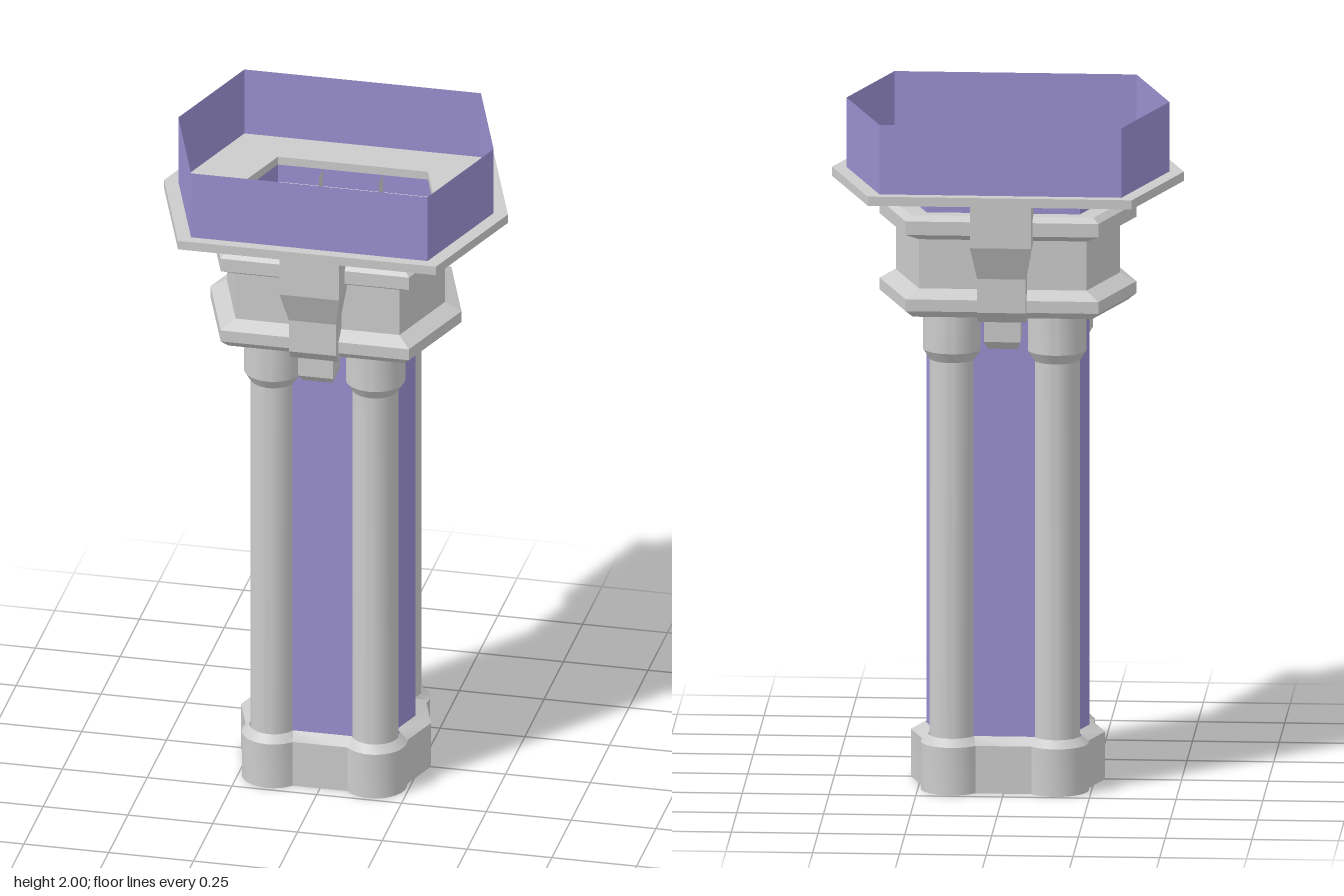
import * as THREE from 'three';
import { toCreasedNormals } from 'three/addons/utils/BufferGeometryUtils.js';

const PX = 0.15, PZ = 0.148; // centre of a corner pillar
const grey = new THREE.MeshStandardMaterial({ color: 0xcccccc, side: THREE.DoubleSide });
const purple = new THREE.MeshStandardMaterial({ color: 0x9a8fd0, side: THREE.DoubleSide });

// Elongated hexagon with its points on the x axis
function hexLoop(r) {
  const a = 0.75 * r, b = 0.745 * r;
  return [[r, 0], [a, b], [-a, b], [-r, 0], [-a, -b], [a, -b]];
}

// The same hexagon with a round lobe of radius R at each pillar
function lobedLoop(r, R) {
  const n = Math.atan2(0.25, 0.745);
  const gap = r * Math.cos(n) - PX * Math.cos(n) - PZ * Math.sin(n);
  const start = n - Math.acos(gap / R);
  const end = Math.PI - Math.asin((0.745 * r - PZ) / R);
  const arc = [];
  for (let i = 0; i <= 12; i++) {
    const t = start + (end - start) * i / 12;
    arc.push([PX + R * Math.cos(t), PZ + R * Math.sin(t)]);
  }
  const half = [[r, 0], ...arc, ...arc.slice().reverse().map(([x, z]) => [-x, z])];
  return [...half, ...half.map(([x, z]) => [-x, -z])];
}

// Skin between stacked loops; levels are { y, loop }
function loft(levels, closed = true) {
  const pos = [];
  for (let k = 0; k < levels.length - 1; k++) {
    const lo = levels[k], hi = levels[k + 1], n = lo.loop.length;
    for (let i = 0; i < (closed ? n : n - 1); i++) {
      const j = (i + 1) % n;
      const p = (l, m) => [l.loop[m][0], l.y, l.loop[m][1]];
      const a = p(lo, i), b = p(lo, j), c = p(hi, j), d = p(hi, i);
      pos.push(...a, ...d, ...c, ...a, ...c, ...b);
    }
  }
  const g = new THREE.BufferGeometry();
  g.setAttribute('position', new THREE.Float32BufferAttribute(pos, 3));
  g.computeVertexNormals();
  return g;
}

const hexStack = (profile) => loft(profile.map(([r, y]) => ({ y, loop: hexLoop(r) })));

// U-shaped shell from [halfWidth, depth, y], reaching in to the given z
const shell = (levels, inner, closed) => loft(levels.map(([w, d, y]) => (
  { y, loop: [[w, inner], [w, d], [-w, d], [-w, inner]] })), closed);

function add(parent, name, geometry, material) {
  const mesh = new THREE.Mesh(geometry, material);
  mesh.name = name;
  parent.add(mesh);
  return mesh;
}

export function createModel() {
  const model = new THREE.Group();
  model.name = 'hexagonalTower';

  // Lobed foot, open underneath
  const foot = loft([
    { y: 0, loop: lobedLoop(0.28, 0.092) },
    { y: 0.14, loop: lobedLoop(0.28, 0.092) },
    { y: 0.162, loop: lobedLoop(0.238, 0.07) },
  ]);
  add(model, 'foot', toCreasedNormals(foot, 0.5), grey);

  // Hollow shaft panels
  add(model, 'shaft', hexStack([[0.235, 0.14], [0.235, 1.66]]), purple);

  // Corner pillars: round shells with a wider collar on top
  const profile = [[0.067, 0.14], [0.067, 1.27], [0.086, 1.3], [0.086, 1.415]]
    .map(([r, y]) => new THREE.Vector2(r, y));
  const pillar = toCreasedNormals(
    new THREE.LatheGeometry(profile, 24, -Math.PI / 2, THREE.MathUtils.degToRad(253)), 0.4);
  for (const sx of [1, -1]) for (const sz of [1, -1]) {
    const mesh = add(model, 'pillar', pillar, grey);
    mesh.position.set(sx * PX, 0, sz * PZ);
    mesh.scale.set(sx, 1, sz);
  }

  // Capital: two bevelled rings around a neck
  add(model, 'capital', hexStack([
    [0.235, 1.415], [0.345, 1.415], [0.37, 1.435], [0.37, 1.47], [0.322, 1.495],
    [0.322, 1.64], [0.37, 1.66], [0.37, 1.7], [0.35, 1.715], [0.295, 1.715], [0.235, 1.66],
  ]), grey);

  // Upper collar, platform and parapet
  add(model, 'upperCollar', hexStack([[0.295, 1.71], [0.295, 1.77]]), purple);
  add(model, 'platform', hexStack([
    [0.295, 1.768], [0.507, 1.768], [0.507, 1.795], [0.295, 1.795], [0.295, 1.768],
  ]), grey);
  add(model, 'parapet', hexStack([[0.465, 1.79], [0.465, 2]]), purple);

  // Front and back brackets under the platform
  const bracket = shell([
    [0.07, 0.168, 1.405], [0.07, 0.27, 1.405], [0.07, 0.305, 1.44],
    [0.07, 0.305, 1.54], [0.088, 0.347, 1.64], [0.088, 0.347, 1.77],
  ], 0.168, false);
  const tip = shell([
    [0.044, 0.17, 1.32], [0.044, 0.24, 1.32], [0.052, 0.265, 1.345], [0.052, 0.265, 1.41],
  ], 0.17, true);
  for (const [name, turn] of [['frontBracket', 0], ['backBracket', Math.PI]]) {
    const group = new THREE.Group();
    group.name = name;
    group.rotation.y = turn;
    add(group, 'bracketShell', bracket, grey);
    add(group, 'bracketTip', tip, grey);
    model.add(group);
  }

  return model;
}
